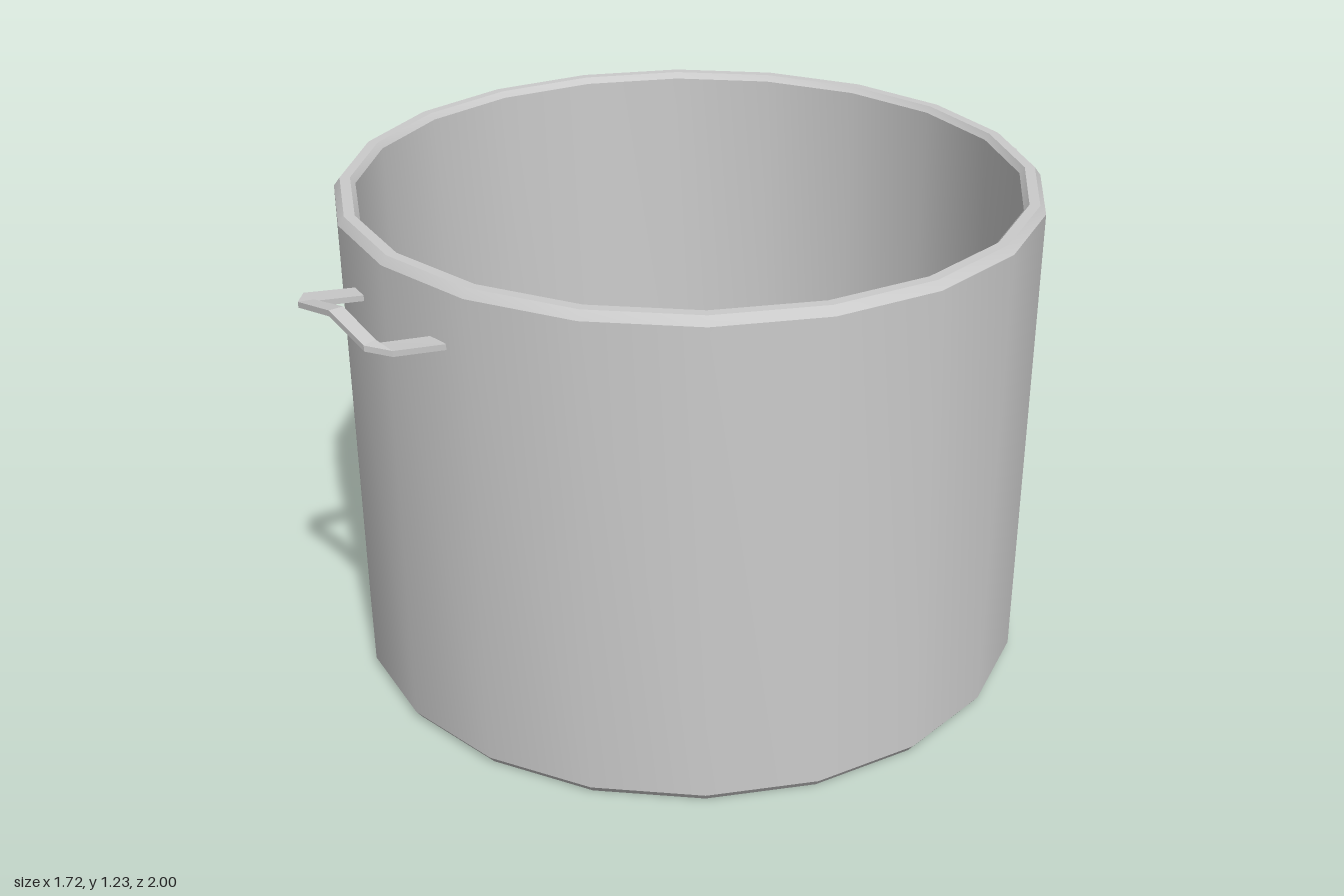
import * as THREE from 'three';
import { toCreasedNormals } from 'three/addons/utils/BufferGeometryUtils.js';

const SIDES = 20;

// Bent flat strip: each section is [innerX, innerZ, outerX, outerZ, bottomY]
function stripGeometry(sections, thickness) {
  const pos = [], index = [];
  for (const [ix, iz, ox, oz, y] of sections) {
    pos.push(ix, y, iz, ox, y, oz, ox, y + thickness, oz, ix, y + thickness, iz);
  }
  for (let s = 0; s < sections.length - 1; s++) {
    for (let k = 0; k < 4; k++) {
      const a = s * 4 + k, b = s * 4 + (k + 1) % 4;
      index.push(a, b, b + 4, a, b + 4, a + 4);
    }
  }
  // end caps
  const e = (sections.length - 1) * 4;
  index.push(0, 2, 1, 0, 3, 2, e, e + 1, e + 2, e, e + 2, e + 3);
  const geo = new THREE.BufferGeometry();
  geo.setAttribute('position', new THREE.Float32BufferAttribute(pos, 3));
  geo.setIndex(index);
  const flat = geo.toNonIndexed();
  flat.computeVertexNormals();
  return flat;
}

export function createModel() {
  const group = new THREE.Group();
  const material = new THREE.MeshStandardMaterial({ color: 0xcccccc, side: THREE.DoubleSide });

  // Pot: closed wall profile from the underside, over the bevelled rim, to the inner floor
  const profile = [
    [0, 0], [0.845, 0], [0.86, 0.02], [0.86, 1.21], [0.845, 1.23],
    [0.82, 1.23], [0.808, 1.215], [0.79, 0.06], [0.775, 0.04], [0, 0.04],
  ].map(([r, y]) => new THREE.Vector2(r, y));
  const pot = new THREE.Mesh(toCreasedNormals(new THREE.LatheGeometry(profile, SIDES), 0.6), material);
  pot.name = 'pot';
  group.add(pot);

  // Handles: two legs rising from the wall, joined by a grip peaked in the middle
  const half = [
    [0.14, 0.83, 0.195, 0.83, 1.073],
    [0.14, 0.965, 0.195, 0.96, 1.095],
    [0.135, 0.965, 0.145, 1.0, 1.101],
  ];
  const mirrored = half.map(([ix, iz, ox, oz, y]) => [-ix, iz, -ox, oz, y]).reverse();
  const handleGeo = stripGeometry([...half, [0, 0.965, 0, 1.0, 1.131], ...mirrored], 0.014);
  for (const [name, angle] of [['frontHandle', 0], ['backHandle', Math.PI]]) {
    const handle = new THREE.Mesh(handleGeo, material);
    handle.name = name;
    handle.rotation.y = angle;
    handle.position.x = 0.01;
    group.add(handle);
  }
  return group;
}
